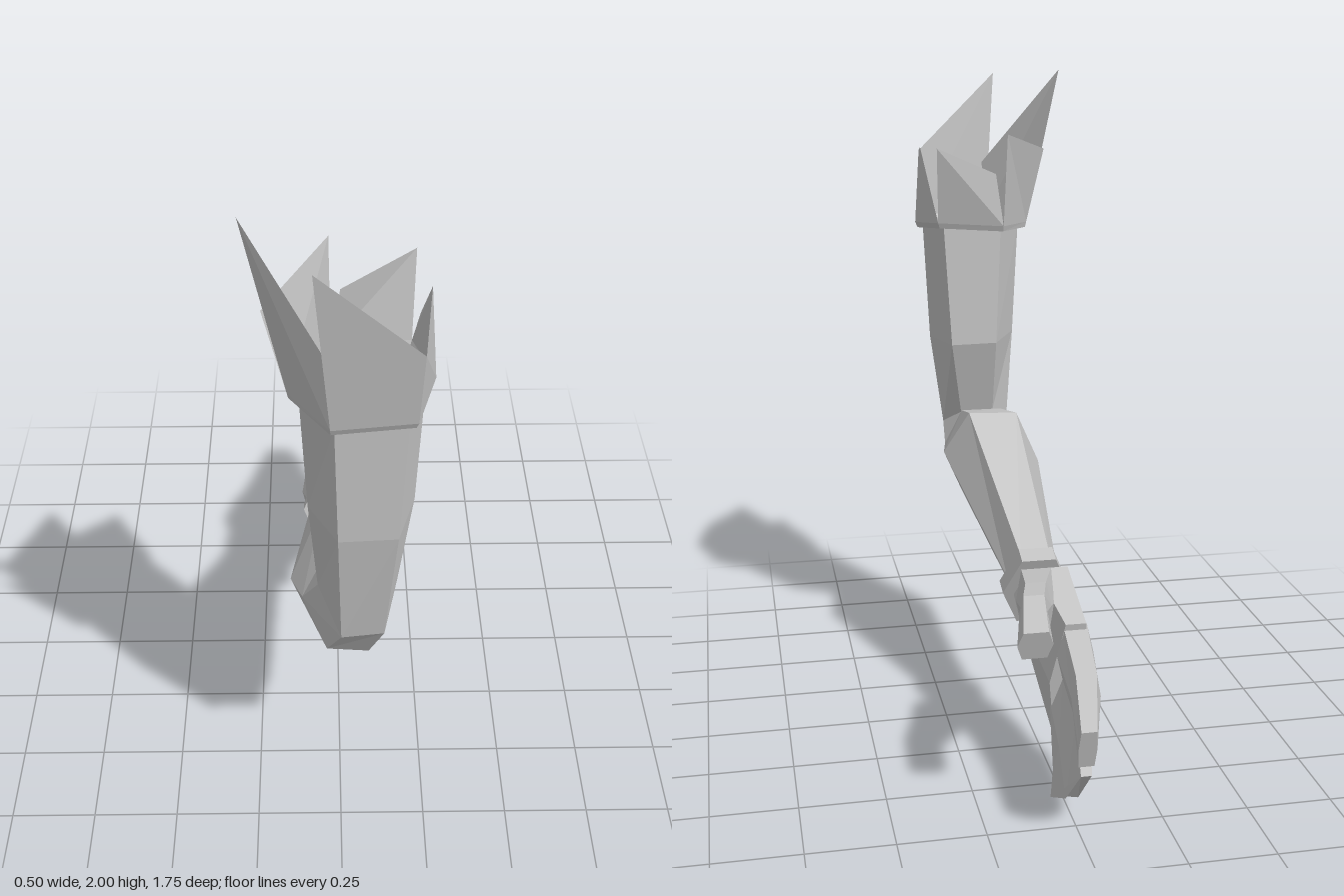
import * as THREE from 'three';

const skin = new THREE.MeshStandardMaterial({ color: 0xc2c2c2, flatShading: true, side: THREE.DoubleSide });
skin.name = 'plain grey';

// Flat-shaded mesh from a list of faces (each a convex loop of points)
function facesMesh(name, faces) {
  const pos = [];
  for (const f of faces)
    for (let i = 1; i < f.length - 1; i++) pos.push(...f[0], ...f[i], ...f[i + 1]);
  const g = new THREE.BufferGeometry();
  g.setAttribute('position', new THREE.Float32BufferAttribute(pos, 3));
  g.computeVertexNormals();
  const m = new THREE.Mesh(g, skin);
  m.name = name;
  return m;
}

// Skin a run of equal-sized rings, with optional end caps
function loft(name, rings, capStart = true, capEnd = true) {
  const faces = [];
  for (let i = 0; i < rings.length - 1; i++) {
    const a = rings[i], b = rings[i + 1], n = a.length;
    for (let j = 0; j < n; j++) {
      const k = (j + 1) % n;
      faces.push([a[j], a[k], b[k], b[j]]);
    }
  }
  if (capStart) faces.push([...rings[0]].reverse());
  if (capEnd) faces.push(rings[rings.length - 1]);
  return facesMesh(name, faces);
}

// Six-sided section between a top and a bottom [y, z]; n and w are half widths
// at the ends and the middle, bx shifts the bottom sideways, mid moves the middle
function hex(top, bot, cx, n, w, bx = 0, mid = null) {
  const m = mid || [(top[0] + bot[0]) / 2, (top[1] + bot[1]) / 2];
  return [
    [cx + n, ...top], [cx + bx / 2 + w, ...m], [cx + bx + n, ...bot],
    [cx + bx - n, ...bot], [cx + bx / 2 - w, ...m], [cx - n, ...top],
  ];
}

export function createModel() {
  const model = new THREE.Group();
  model.name = 'arm';

  // Upper arm, bent elbow and forearm in one skin, open at the shoulder
  const armTop = [[.17, 1.51, .46], [.22, 1.5, .6], [.17, 1.5, .77], [-.02, 1.49, .79], [-.11, 1.49, .64], [-.02, 1.5, .47]];
  model.add(loft('armAndElbow', [
    armTop,
    [[.15, 1.12, .44], [.2, 1.12, .61], [.15, 1.12, .78], [-.01, 1.12, .79], [-.09, 1.12, .64], [0, 1.12, .45]],
    [[.11, .87, .52], [.16, .82, .6], [.12, .74, .735], [0, .73, .74], [-.065, .82, .62], [0, .87, .53]],
    [[.11, .88, .5], [.165, .76, .53], [.08, .6, .66], [-.04, .61, .66], [-.11, .72, .56], [-.02, .88, .5]],
    [[.11, .91, .35], [.19, .77, .39], [.11, .59, .52], [-.04, .59, .52], [-.145, .7, .46], [-.05, .9, .36]],
    hex([.585, -.14], [.42, -.07], -.01, .045, .08),
  ], false, true));

  // Wrist band
  model.add(loft('wristBand', [
    hex([.61, -.155], [.38, -.065], -.008, .052, .103),
    hex([.59, -.21], [.362, -.12], -.008, .052, .103),
  ]));

  // Hand: palm, thumb, first finger and joined lower fingers
  const hand = new THREE.Group();
  hand.name = 'hand';
  hand.add(loft('palm', [
    hex([.55, -.18], [.39, -.12], -.01, .035, .07),
    hex([.6, -.3], [.3, -.22], -.025, .05, .092),
    hex([.5, -.5], [.12, -.44], -.055, .03, .06, .02),
  ]));
  hand.add(loft('thumb', [
    hex([.6, -.3], [.42, -.34], .02, .045, .065),
    hex([.62, -.46], [.48, -.48], .055, .03, .045),
    hex([.63, -.58], [.525, -.57], .085, .03, .04),
    hex([.585, -.735], [.5, -.71], .11, .035, .05),
  ]));
  hand.add(loft('firstFinger', [
    hex([.49, -.47], [.32, -.47], -.058, .035, .055),
    hex([.42, -.67], [.285, -.67], -.045, .03, .042),
    hex([.35, -.875], [.235, -.845], -.005, .022, .026),
  ]));
  hand.add(loft('lowerFingers', [
    hex([.34, -.45], [.13, -.42], -.058, .03, .055, .02),
    hex([.275, -.65], [.06, -.52], -.045, .025, .04, .035),
    hex([.195, -.825], [.005, -.58], -.01, .015, .018, .03, [.075, -.72]),
  ]));
  model.add(hand);

  // Cuff: underside ledge and lip around the top of the arm
  const cuff = new THREE.Group();
  cuff.name = 'cuff';
  const base = [[.19, 1.525, .445], [.245, 1.51, .6], [.19, 1.51, .8], [-.03, 1.5, .815], [-.14, 1.495, .64], [-.025, 1.51, .44]];
  const lip = base.map(([x, y, z]) => [x * .97, y - .018, .625 + (z - .625) * .96]);
  cuff.add(loft('cuffLip', [base, lip, armTop], false, false));

  // Torn panels: each side of the cuff has its own pair of upper corners
  const R = [.23, 1.76, .56], B = [.2, 1.725, .825];
  const tops = [
    [[.21, 1.62, .46], R],
    [R, B],
    [B, [-.07, 1.98, .875]],
    [[-.02, 1.68, .83], [-.25, 2, .64]],
    [[-.2, 1.74, .64], [-.03, 1.81, .39]],
    [[0, 1.68, .44], [.2, 1.77, .385]],
  ];
  cuff.add(facesMesh('cuffPanels', tops.map(([p, q], i) => [base[i], p, q, base[(i + 1) % 6]])));
  model.add(cuff);

  return model;
}
